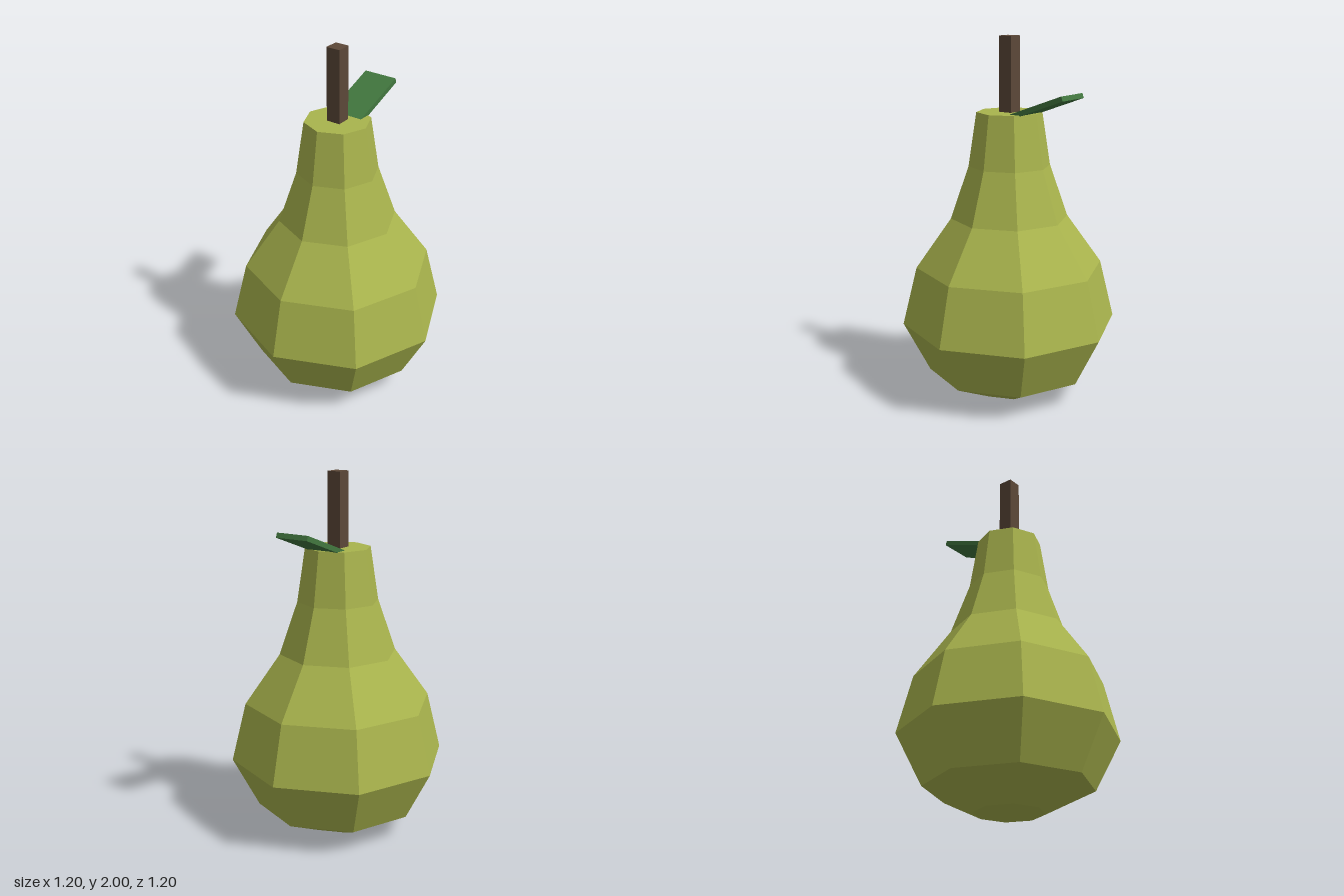
import * as THREE from 'three';

const skin = new THREE.MeshStandardMaterial({ color: 0xa9b44d });
skin.name = 'pearGreen';
const bark = new THREE.MeshStandardMaterial({ color: 0x5c4838 });
bark.name = 'stemBrown';
const foliage = new THREE.MeshStandardMaterial({ color: 0x42773f });
foliage.name = 'leafGreen';

// Adds a faceted mesh with one normal per face
function addPart(group, name, geometry, material) {
  const faceted = geometry.toNonIndexed();
  faceted.computeVertexNormals();
  const mesh = new THREE.Mesh(faceted, material);
  mesh.name = name;
  group.add(mesh);
  return mesh;
}

export function createModel() {
  const pear = new THREE.Group();
  pear.name = 'pear';

  // Eight-sided body, closed at the base and the flat top
  const profile = [
    [0, 0], [0.19, 0], [0.455, 0.13], [0.6, 0.41], [0.52, 0.735],
    [0.325, 1.01], [0.225, 1.3], [0.18, 1.595], [0, 1.595],
  ].map(([r, y]) => new THREE.Vector2(r, y));
  addPart(pear, 'body', new THREE.LatheGeometry(profile, 8), skin);

  // Square stem, sunk slightly into the top
  const stem = addPart(pear, 'stem', new THREE.BoxGeometry(0.08, 0.44, 0.08), bark);
  stem.position.y = 1.78;

  // Flat leaf rising to the left, its inner end buried in the top
  const leafGeometry = new THREE.BoxGeometry(0.37, 0.027, 0.195);
  leafGeometry.translate(-0.185, -0.0135, 0);
  const leaf = addPart(pear, 'leaf', leafGeometry, foliage);
  leaf.position.set(0.404, 1.715, 0);
  leaf.rotation.z = THREE.MathUtils.degToRad(20);

  return pear;
}
